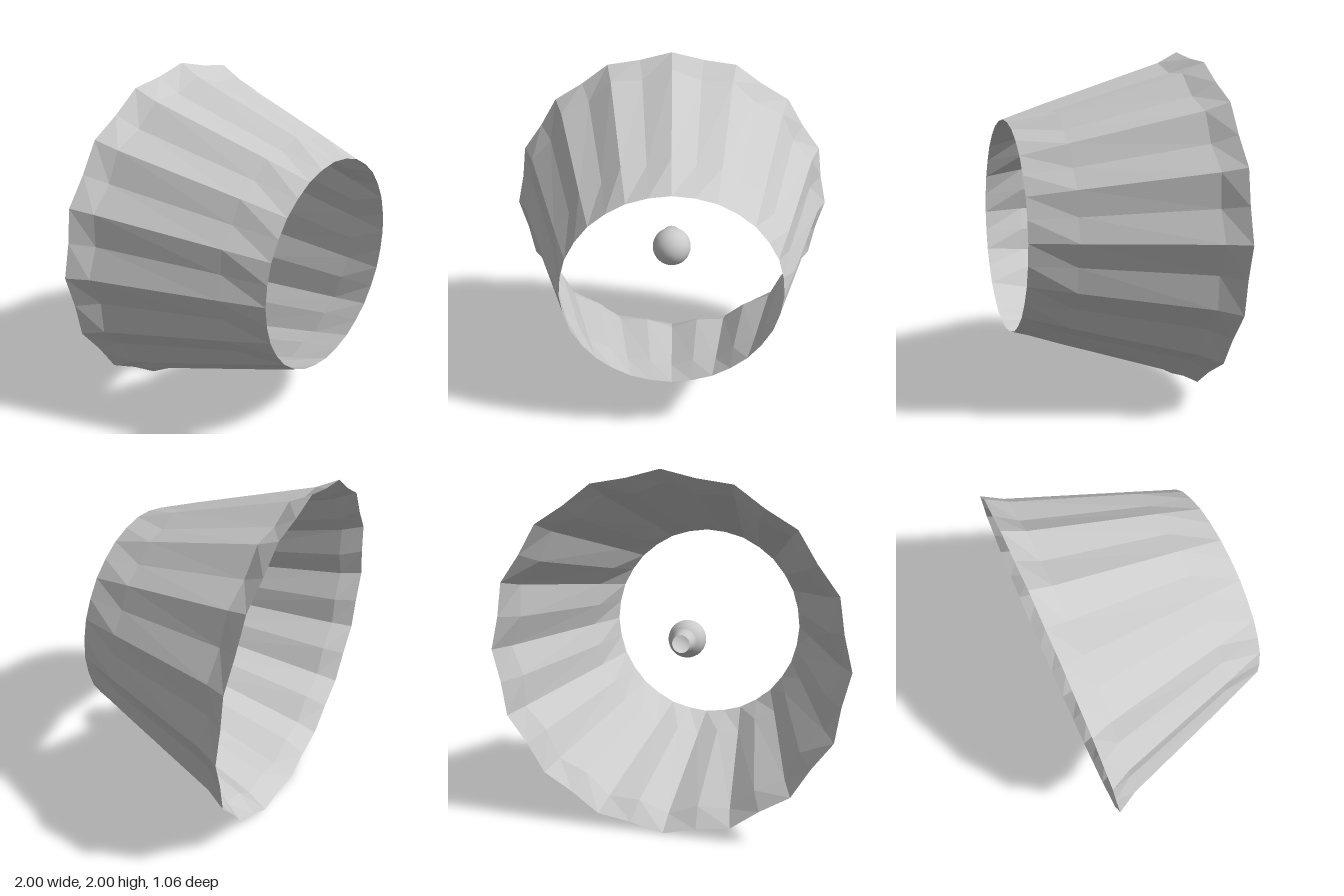
import * as THREE from 'three';

const grey = (flatShading) =>
  new THREE.MeshStandardMaterial({ color: 0xcccccc, side: THREE.DoubleSide, flatShading });

// Pleated thin shell: rings of alternating ridge and valley radii along z
function pleatedShell(rings, pleats) {
  const n = pleats * 2;
  const position = [];
  const index = [];
  for (const [z, ridge, valley] of rings) {
    for (let j = 0; j < n; j++) {
      const angle = (j / n) * Math.PI * 2;
      const r = j % 2 ? valley : ridge;
      position.push(r * Math.cos(angle), r * Math.sin(angle), z);
    }
  }
  for (let i = 0; i < rings.length - 1; i++) {
    for (let j = 0; j < n; j++) {
      const a = i * n + j;
      const b = i * n + ((j + 1) % n);
      index.push(a, a + n, b, b, a + n, b + n);
    }
  }
  const geometry = new THREE.BufferGeometry();
  geometry.setAttribute('position', new THREE.Float32BufferAttribute(position, 3));
  geometry.setIndex(index);
  const flat = geometry.toNonIndexed();
  flat.computeVertexNormals();
  return flat;
}

// Round bulb with a neck that is open at the back
function bulbGeometry() {
  const radius = 0.113;
  const centre = 0.02;
  const profile = [new THREE.Vector2(0.053, -0.13), new THREE.Vector2(0.064, -0.105)];
  const start = -0.9;
  for (let i = 0; i <= 20; i++) {
    const t = start + (i / 20) * (Math.PI / 2 - start);
    profile.push(new THREE.Vector2(Math.max(0, radius * Math.cos(t)), centre + radius * Math.sin(t)));
  }
  return new THREE.LatheGeometry(profile, 32).rotateX(Math.PI / 2);
}

export function createModel() {
  const model = new THREE.Group();
  model.name = 'lampshadeWithBulb';

  // Shade: narrow round front opening, pleated wall, flared back rim
  const shade = new THREE.Mesh(
    pleatedShell([
      [0.53, 0.61, 0.608],
      [0.28, 0.7, 0.67],
      [-0.41, 0.935, 0.887],
      [-0.53, 1, 0.972],
    ], 16),
    grey(true),
  );
  shade.name = 'shade';
  shade.position.y = 1;

  const bulb = new THREE.Mesh(bulbGeometry(), grey(false));
  bulb.name = 'bulb';
  bulb.position.y = 1;

  model.add(shade, bulb);
  return model;
}
